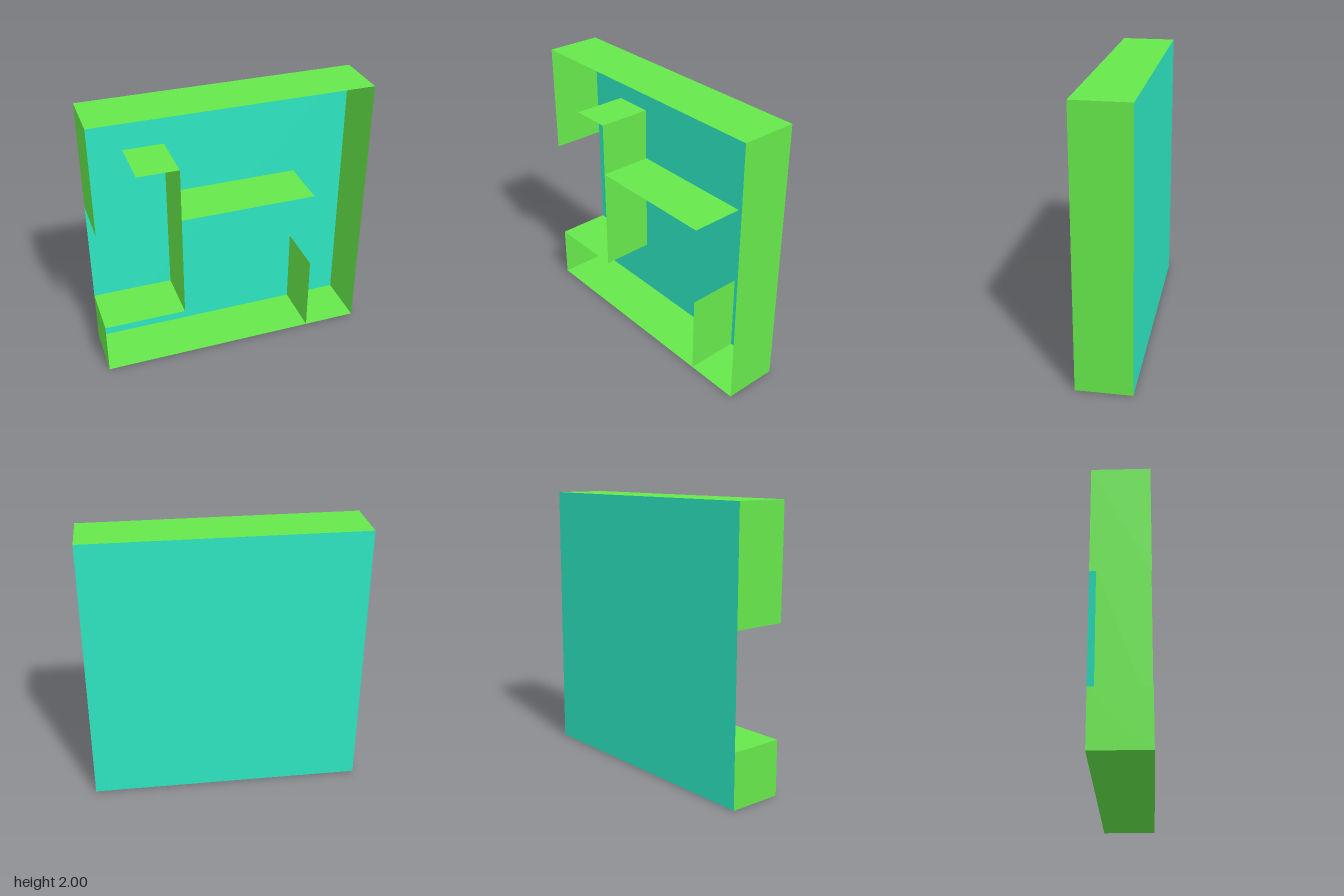
import * as THREE from 'three';

const DEPTH = 0.4;

export function createModel() {
  const model = new THREE.Group();
  const teal = new THREE.MeshStandardMaterial({ color: 0x2de6c2, side: THREE.DoubleSide });
  teal.name = 'teal';
  const green = new THREE.MeshStandardMaterial({ color: 0x66e84a, side: THREE.DoubleSide });
  green.name = 'green';

  // Back panel
  const panel = new THREE.Mesh(new THREE.PlaneGeometry(2, 2), teal);
  panel.name = 'backPanel';
  panel.position.set(0, 1, -DEPTH / 2);
  model.add(panel);

  // Upright sheet at x, from y0 to y1
  function upright(name, x, y0, y1) {
    const geometry = new THREE.PlaneGeometry(DEPTH, y1 - y0).rotateY(Math.PI / 2);
    const mesh = new THREE.Mesh(geometry, green);
    mesh.name = name;
    mesh.position.set(x, (y0 + y1) / 2, 0);
    model.add(mesh);
  }

  // Level sheet at y, from x0 to x1
  function level(name, y, x0, x1) {
    const geometry = new THREE.PlaneGeometry(x1 - x0, DEPTH).rotateX(-Math.PI / 2);
    const mesh = new THREE.Mesh(geometry, green);
    mesh.name = name;
    mesh.position.set((x0 + x1) / 2, y, 0);
    model.add(mesh);
  }

  // Outer frame, with an opening at -x
  level('topWall', 2, -1, 1);
  level('bottomWall', 0, -1, 1);
  upright('closedSideWall', 1, 0, 2);
  upright('openSideUpperWall', -1, 1.2, 2);
  upright('openSideLowerWall', -1, 0, 0.4);

  // Inner partitions
  level('entryFloor', 0.4, -1, -0.4);
  upright('tallPartition', -0.4, 0.4, 1.6);
  level('partitionCap', 1.6, -0.7, -0.4);
  level('middleShelf', 1.2, -0.4, 0.6);
  upright('shortPartition', 0.6, 0, 0.6);

  return model;
}
